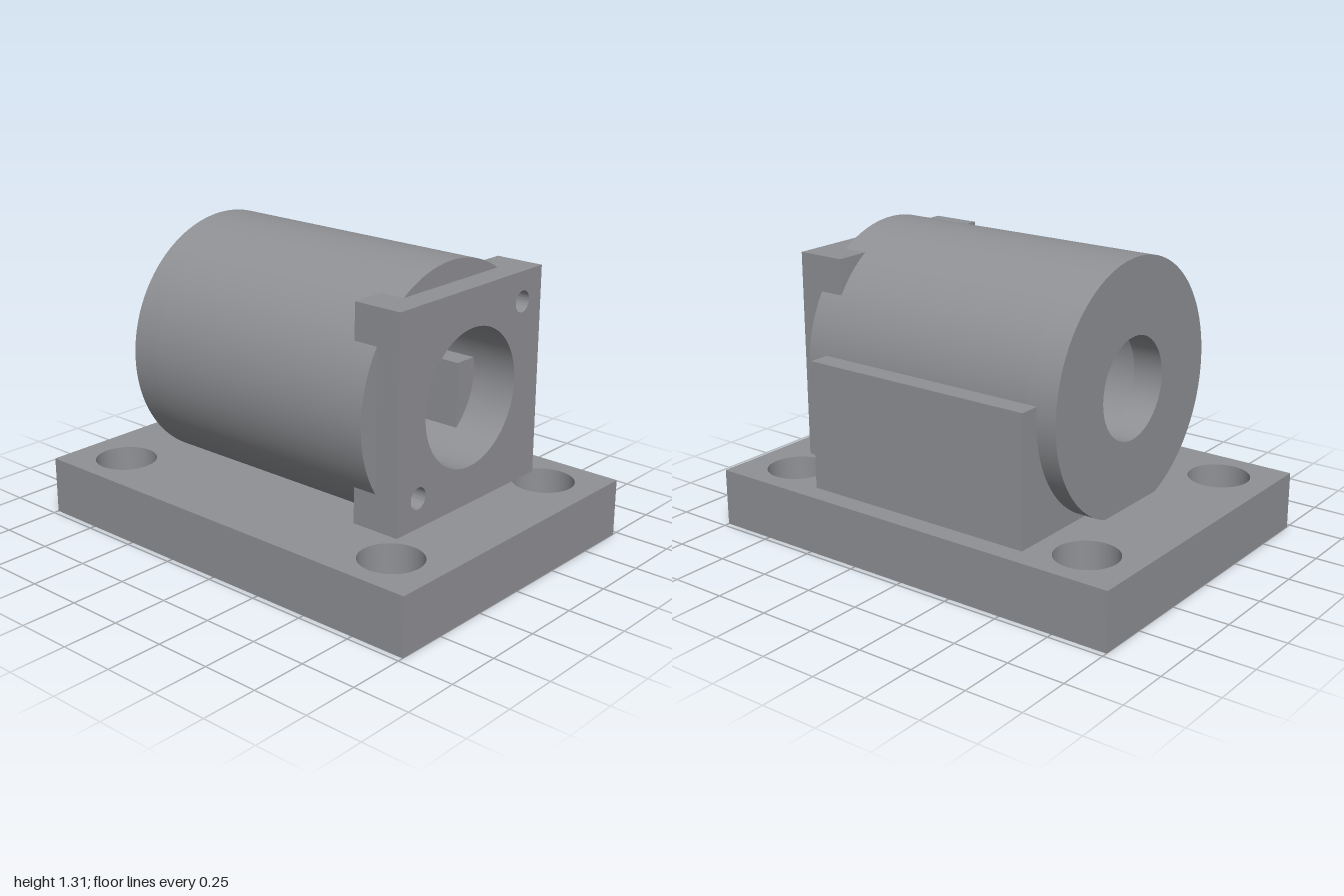
import * as THREE from 'three';
import { toCreasedNormals } from 'three/addons/utils/BufferGeometryUtils.js';

const AXIS_Y = 0.765; // height of the housing axis

export function createModel() {
  const model = new THREE.Group();
  const grey = new THREE.MeshStandardMaterial({ color: 0x909195 });
  grey.name = 'machined grey';

  const add = (name, geometry, parent = model) => {
    const mesh = new THREE.Mesh(geometry, grey);
    mesh.name = name;
    parent.add(mesh);
    return mesh;
  };

  const rectangle = (w, h) => new THREE.Shape([
    new THREE.Vector2(-w / 2, -h / 2), new THREE.Vector2(w / 2, -h / 2),
    new THREE.Vector2(w / 2, h / 2), new THREE.Vector2(-w / 2, h / 2),
  ]);
  const disc = (r) => new THREE.Shape().absarc(0, 0, r, 0, Math.PI * 2);

  // Extrudes an outline pierced by round holes given as [x, y, radius]
  const pierced = (shape, holes, depth) => {
    for (const [x, y, r] of holes) {
      shape.holes.push(new THREE.Path().absarc(x, y, r, 0, Math.PI * 2, true));
    }
    const g = new THREE.ExtrudeGeometry(shape, { depth, bevelEnabled: false, curveSegments: 64 });
    return toCreasedNormals(g, 0.5);
  };
  // Slab lying flat between two heights
  const slab = (shape, holes, y0, y1) =>
    pierced(shape, holes, y1 - y0).rotateX(-Math.PI / 2).translate(0, y0, 0);
  // Section of the housing between two stations along x
  const section = (shape, holes, x0, x1) =>
    pierced(shape, holes, x1 - x0).rotateY(Math.PI / 2).translate(x0, AXIS_Y, 0);

  // Base plate with four counterbored bolt holes
  const base = new THREE.Group();
  base.name = 'basePlate';
  model.add(base);
  const boltHoles = (r) => [-1, 1].flatMap((i) => [-1, 1].map((j) => [i * 0.765, j * 0.512, r]));
  add('basePlateLower', slab(rectangle(2, 1.45), boltHoles(0.083), 0, 0.12), base);
  add('basePlateUpper', slab(rectangle(2, 1.45), boltHoles(0.135), 0.12, 0.255), base);

  // Round housing with a wide bore and a narrower rear opening
  add('housingBody', section(disc(0.545), [[0, 0, 0.292]], -0.5, 0.635));
  add('housingRearWall', section(disc(0.545), [[0, 0, 0.22]], -0.635, -0.5));

  // Square mounting flange with two blind screw holes on a diagonal
  add('mountingFlange', section(rectangle(0.91, 0.91),
    [[0, 0, 0.292], [0.327, 0.327, 0.046], [-0.327, -0.327, 0.046]], 0.525, 0.745));

  // Support block joining the back of the housing to the base
  const block = new THREE.BoxGeometry(1.085, 0.62, 0.455);
  add('supportBlock', block).position.set(-0.003, 0.51, -0.4075);

  return model;
}
